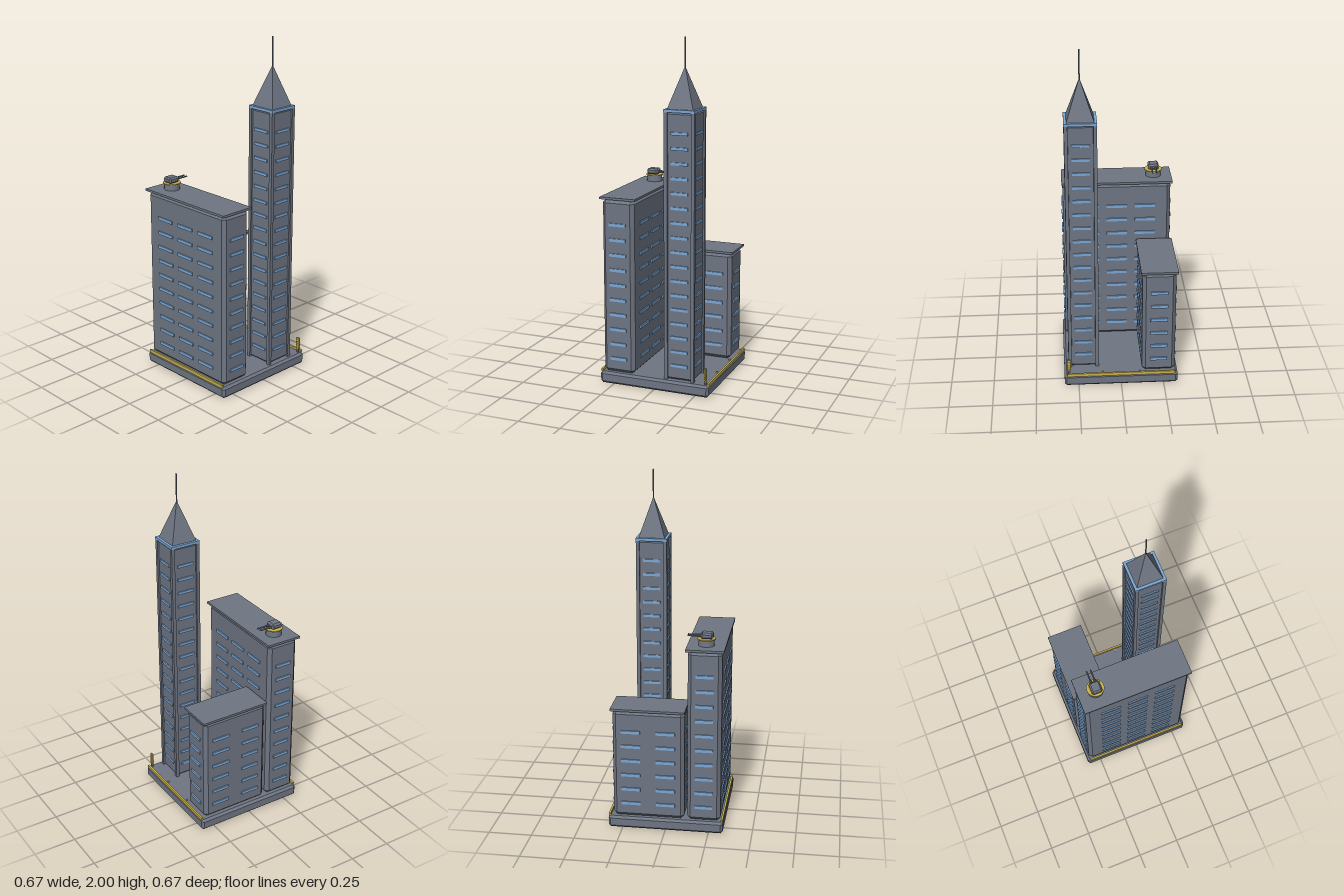
import * as THREE from 'three';
import { ConvexGeometry } from 'three/addons/geometries/ConvexGeometry.js';

const mat = (name, color) => Object.assign(new THREE.MeshStandardMaterial({ color, flatShading: true }), { name });

// Box with every edge cut off at 45 degrees, given as ranges [min, max]
function chamferBox([x0, x1], [y0, y1], [z0, z1], c) {
  const pts = [];
  for (const sx of [0, 1]) for (const sy of [0, 1]) for (const sz of [0, 1]) {
    const p = [[x0, x1][sx], [y0, y1][sy], [z0, z1][sz]];
    const inner = [p[0] + (sx ? -c : c), p[1] + (sy ? -c : c), p[2] + (sz ? -c : c)];
    for (let a = 0; a < 3; a++) {
      const q = inner.slice();
      q[a] = p[a];
      pts.push(new THREE.Vector3(...q));
    }
  }
  return new ConvexGeometry(pts);
}

function rangeBox([x0, x1], [y0, y1], [z0, z1]) {
  return new THREE.BoxGeometry(x1 - x0, y1 - y0, z1 - z0)
    .translate((x0 + x1) / 2, (y0 + y1) / 2, (z0 + z1) / 2);
}

export function createModel() {
  const grey = mat('concreteGrey', 0x6f7683);
  const blue = mat('windowBlue', 0x7ba7d6);
  const yellow = mat('trimYellow', 0xcbb24a);
  const model = new THREE.Group();
  model.name = 'cityBlock';

  const add = (parent, name, geometry, material) => {
    const mesh = new THREE.Mesh(geometry, material);
    mesh.name = name;
    parent.add(mesh);
    return mesh;
  };
  const group = (name, x = 0, y = 0, z = 0) => {
    const g = new THREE.Group();
    g.name = name;
    g.position.set(x, y, z);
    model.add(g);
    return g;
  };

  // Window bars on all four sides of a block centred on its group
  function addWindows(parent, hx, hz, rows, y0, step, xCols, zCols, w, wSide, h) {
    const out = 0.014;
    for (let r = 0; r < rows; r++) {
      const y = y0 + r * step;
      for (const s of [-1, 1]) {
        for (const x of xCols)
          add(parent, 'window', new THREE.BoxGeometry(w, h, out), blue).position.set(x, y, s * hz);
        for (const z of zCols)
          add(parent, 'window', new THREE.BoxGeometry(out, h, wSide), blue).position.set(s * hx, y, z);
      }
    }
  }

  // Ground slab with yellow edge strips
  add(model, 'baseSlab', chamferBox([-0.333, 0.333], [0, 0.07], [-0.333, 0.333], 0.013), grey);
  for (const s of [-1, 1])
    add(model, 'edgeStrip', rangeBox([-0.317, 0.317], [0.064, 0.082], s > 0 ? [0.321, 0.332] : [-0.332, -0.321]), yellow);

  // Wide front building
  const front = group('frontBuilding', 0, 0, 0.22);
  add(front, 'frontBody', chamferBox([-0.317, 0.317], [0.07, 1.09], [-0.096, 0.096], 0.02), grey);
  add(front, 'frontRoof', rangeBox([-0.327, 0.323], [1.09, 1.103], [-0.108, 0.107]), grey);
  addWindows(front, 0.317, 0.096, 10, 0.155, 0.088, [-0.167, 0, 0.167], [0], 0.12, 0.1, 0.018);

  // Low building at the back
  const low = group('lowBuilding', -0.22, 0, -0.1);
  add(low, 'lowBody', chamferBox([-0.097, 0.097], [0.07, 0.72], [-0.204, 0.207], 0.02), grey);
  add(low, 'lowRoof', rangeBox([-0.107, 0.107], [0.72, 0.733], [-0.215, 0.21]), grey);
  addWindows(low, 0.097, 0.205, 6, 0.155, 0.088, [0], [-0.1, 0.1], 0.1, 0.11, 0.018);

  // Tall tower with corner posts, blue cornice, spire and mast
  const tower = group('tower', 0.217, 0, -0.147);
  add(tower, 'towerBody', chamferBox([-0.081, 0.081], [0.07, 1.6], [-0.081, 0.081], 0.012), grey);
  for (const x of [-0.08, 0.08]) for (const z of [-0.08, 0.08])
    add(tower, 'cornerPost', new THREE.BoxGeometry(0.02, 1.53, 0.02), grey).position.set(x, 0.835, z);
  addWindows(tower, 0.081, 0.081, 17, 0.155, 0.083, [0], [0], 0.1, 0.1, 0.016);
  add(tower, 'cornice', rangeBox([-0.091, 0.091], [1.598, 1.614], [-0.091, 0.091]), blue);
  add(tower, 'spire', new THREE.CylinderGeometry(0.004, 0.076 * Math.SQRT2, 0.22, 4)
    .rotateY(Math.PI / 4).translate(0, 1.724, 0), grey);
  add(tower, 'mast', new THREE.CylinderGeometry(0.004, 0.004, 0.18, 8).translate(0, 1.91, 0), grey);

  // Roof turret with twin barrels
  const turret = group('roofTurret', -0.221, 1.103, 0.218);
  add(turret, 'turretBase', new THREE.CylinderGeometry(0.043, 0.046, 0.036, 16).translate(0, 0.018, 0), grey);
  add(turret, 'turretRing', new THREE.CylinderGeometry(0.051, 0.051, 0.006, 24).translate(0, 0.038, 0), yellow);
  add(turret, 'turretHead', chamferBox([-0.031, 0.031], [0.041, 0.075], [-0.03, 0.039], 0.009), grey);
  add(turret, 'turretLight', new THREE.BoxGeometry(0.007, 0.005, 0.005).translate(0, 0.067, 0.035), yellow);
  for (const x of [-0.012, 0.012]) {
    const barrel = (r, z0, z1) => new THREE.CylinderGeometry(r, r, z1 - z0, 8)
      .rotateX(Math.PI / 2).translate(x, 0.055, (z0 + z1) / 2);
    add(turret, 'barrel', barrel(0.0045, -0.104, -0.02), grey);
    add(turret, 'barrelSleeve', barrel(0.007, -0.042, -0.02), grey);
  }

  // Small yellow markers and a ringed post along the back edge
  for (const x of [-0.11, 0.109])
    add(model, 'groundMarker', new THREE.BoxGeometry(0.008, 0.01, 0.011).translate(x, 0.074, -0.306), yellow);
  const post = group('signalPost', 0.307, 0.07, -0.308);
  add(post, 'postShaft', new THREE.BoxGeometry(0.012, 0.095, 0.009).translate(0, 0.0475, 0), grey);
  for (let i = 0; i < 6; i++)
    add(post, 'postRung', new THREE.BoxGeometry(0.022, 0.009, 0.011).translate(0, 0.03 + i * 0.012, 0), yellow);

  return model;
}
